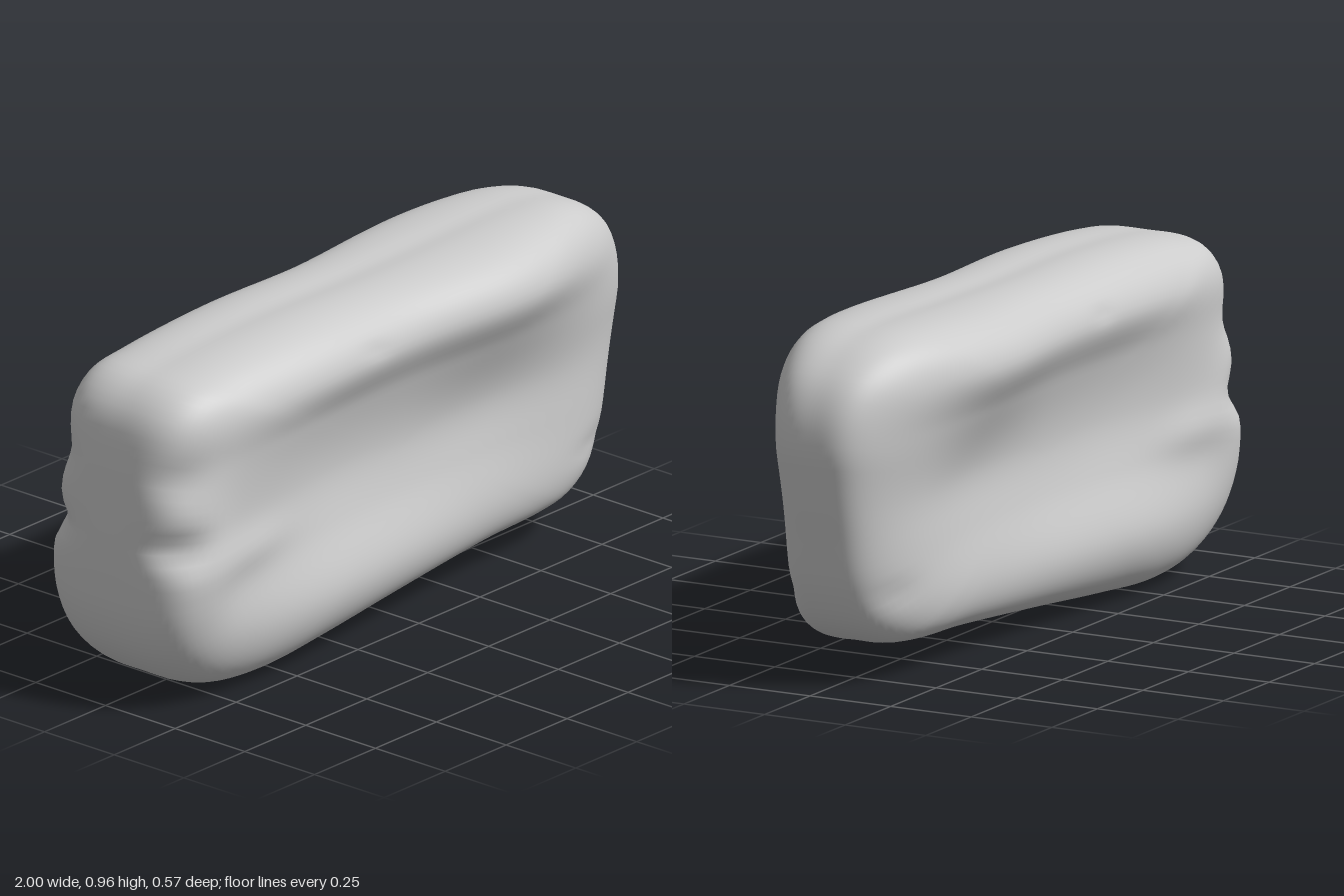
import * as THREE from 'three';

// Side outline of the block, counter-clockwise in x, y
const OUTLINE = [
  [0.99, 0.6], [1, 0.68], [0.985, 0.78], [0.94, 0.86], [0.85, 0.925], [0.74, 0.958], [0.6, 0.966],
  [0.3, 0.96], [0, 0.955], [-0.4, 0.957], [-0.75, 0.933], [-0.88, 0.905], [-0.95, 0.84], [-0.98, 0.73],
  [-0.995, 0.55], [-1, 0.4], [-0.99, 0.25], [-0.95, 0.15], [-0.87, 0.07], [-0.76, 0.02], [-0.6, 0],
  [-0.35, 0.015], [0, 0.045], [0.4, 0.075], [0.65, 0.088], [0.77, 0.11], [0.86, 0.165], [0.92, 0.27], [0.96, 0.44],
];

// Half thickness before edge rounding: one row per x, one column per y
const XS = [-1, -0.88, -0.7, -0.35, 0, 0.4, 0.75, 1];
const YS = [0, 0.19, 0.38, 0.53, 0.7, 0.83, 1];
const HALF = [
  [0.38, 0.4, 0.41, 0.38, 0.34, 0.34, 0.34],
  [0.34, 0.345, 0.35, 0.33, 0.31, 0.325, 0.325],
  [0.3, 0.3, 0.265, 0.26, 0.272, 0.3, 0.3],
  [0.28, 0.28, 0.22, 0.198, 0.228, 0.295, 0.295],
  [0.265, 0.25, 0.187, 0.171, 0.213, 0.287, 0.295],
  [0.255, 0.22, 0.177, 0.169, 0.235, 0.315, 0.33],
  [0.25, 0.23, 0.215, 0.21, 0.24, 0.275, 0.28],
  [0.22, 0.21, 0.21, 0.21, 0.22, 0.22, 0.22],
];

// Smooth interpolation through unevenly spaced keys
function smooth(keys, values, t) {
  const last = keys.length - 1;
  let k = 0;
  while (k < last - 1 && t > keys[k + 1]) k++;
  const slope = (i) => {
    const a = Math.max(i - 1, 0), b = Math.min(i + 1, last);
    return (values[b] - values[a]) / (keys[b] - keys[a]);
  };
  const h = keys[k + 1] - keys[k];
  const u = THREE.MathUtils.clamp((t - keys[k]) / h, 0, 1);
  const u2 = u * u, u3 = u2 * u;
  return (2 * u3 - 3 * u2 + 1) * values[k] + (u3 - 2 * u2 + u) * h * slope(k)
    + (3 * u2 - 2 * u3) * values[k + 1] + (u3 - u2) * h * slope(k + 1);
}

const bump = (x, y, cx, cy, rx, ry) => Math.exp(-(((x - cx) / rx) ** 2) - ((y - cy) / ry) ** 2);

function halfThickness(x, y) {
  const base = smooth(XS, HALF.map((row) => smooth(YS, row, y)), x);
  return base
    + 0.02 * bump(x, y, -0.7, 0.42, 0.18, 0.06) // swelling beside the end crease
    - 0.09 * bump(x, y, -0.99, 0.48, 0.1, 0.05) // creases at the thick end
    - 0.04 * bump(x, y, -0.99, 0.68, 0.1, 0.05)
    - 0.006 * bump(x, y, -0.17, 0.85, 0.05, 0.02) // small dents
    - 0.01 * bump(x, y, 0.82, 0.26, 0.08, 0.03);
}

function blockGeometry(around = 160, rings = 80, power = 3.5) {
  const curve = new THREE.CatmullRomCurve3(OUTLINE.map(([x, y]) => new THREE.Vector3(x, y, 0)), true);
  const rim = curve.getSpacedPoints(around).slice(0, around);
  const cy = 0.49;
  const positions = [], index = [];

  // Rings run from the middle of the front face, over the rim, to the back
  for (let i = 0; i <= rings; i++) {
    const a = (i / rings) * Math.PI;
    const s = Math.sin(a), c = Math.cos(a);
    const size = (s ** power + Math.abs(c) ** power) ** (1 / power);
    const pole = i === 0 || i === rings;
    const r = pole ? 0 : s / size;
    for (const p of pole ? [rim[0]] : rim) {
      const x = p.x * r;
      let y = cy + (p.y - cy) * r;
      const z = (c / size) * halfThickness(x, y);
      // faint hollow along the middle of top and bottom, fading to the ends
      y -= 0.012 * (y - cy) * Math.max(0, 1 - x * x) * Math.exp(-((z / 0.05) ** 2));
      positions.push(x, y, z);
    }
  }
  const id = (i, j) => (i === 0 ? 0 : i === rings ? 1 + (rings - 1) * around : 1 + (i - 1) * around + (j % around));
  for (let i = 0; i < rings; i++) {
    for (let j = 0; j < around; j++) {
      const a = id(i, j), b = id(i + 1, j), c = id(i + 1, j + 1), d = id(i, j + 1);
      if (i < rings - 1) index.push(a, b, c);
      if (i > 0) index.push(a, c, d);
    }
  }
  const geometry = new THREE.BufferGeometry();
  geometry.setAttribute('position', new THREE.Float32BufferAttribute(positions, 3));
  geometry.setIndex(index);
  geometry.computeVertexNormals();
  return geometry;
}

export function createModel() {
  const group = new THREE.Group();
  group.name = 'softBlock';
  const body = new THREE.Mesh(blockGeometry(), new THREE.MeshStandardMaterial({ color: 0xcccccc }));
  body.name = 'body';
  group.add(body);
  return group;
}
